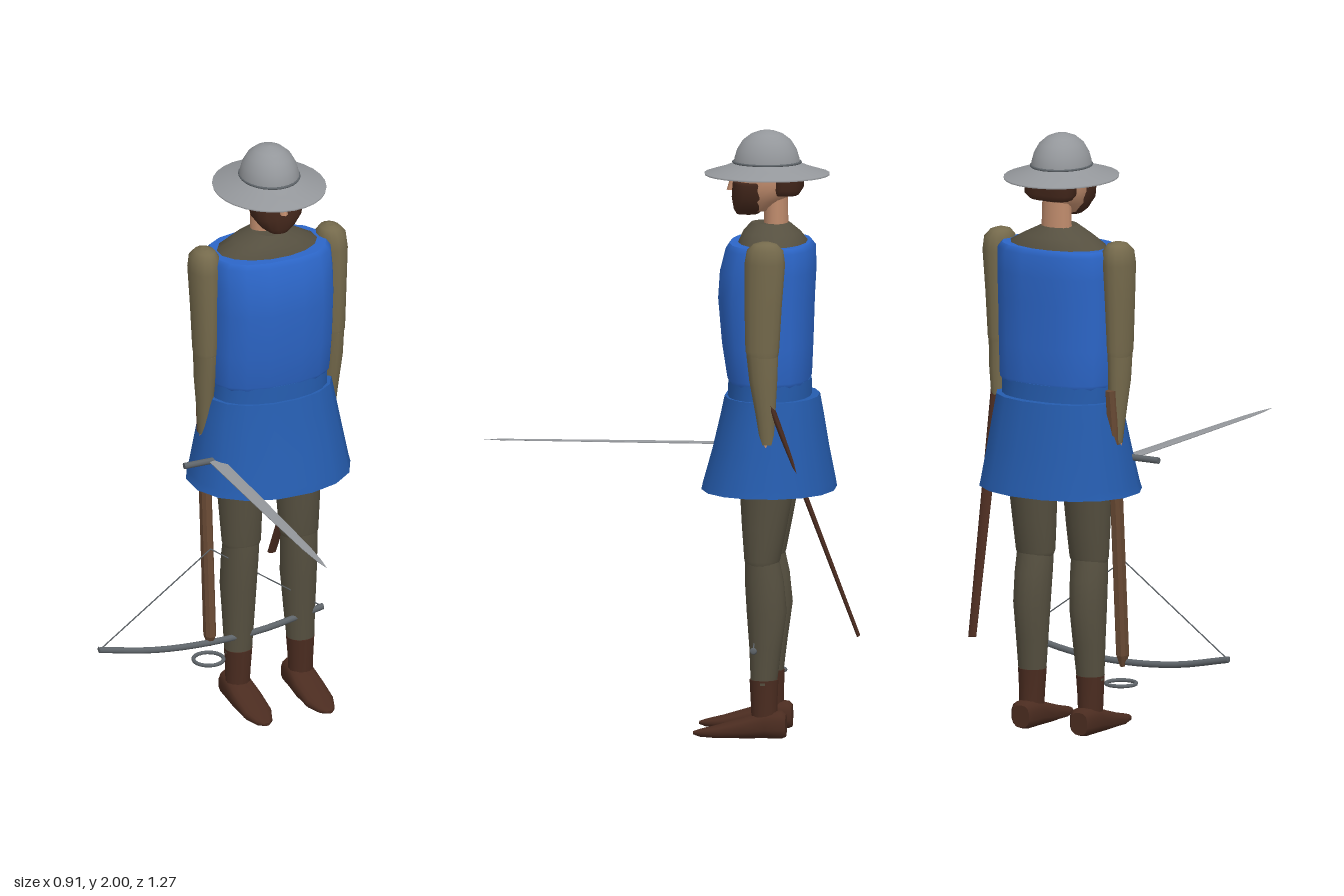
import * as THREE from 'three';

const mat = (name, color) => {
  const m = new THREE.MeshStandardMaterial({ color });
  m.name = name;
  return m;
};

const CX = 0.172; // the figure's own middle line
const CZ = -0.315;

// Stack of oval rings [y, xMin, xMax, zFront, zBack], lowest first, closed with flat caps.
// square < 1 makes the ovals boxier.
function loft(rings, seg = 16, square = 1, flat = false) {
  const pos = [], idx = [];
  const bend = (v) => Math.sign(v) * Math.pow(Math.abs(v), square);
  const addRing = ([y, x0, x1, zf, zb]) => {
    for (let j = 0; j < seg; j++) {
      const a = ((j + 0.5) / seg) * Math.PI * 2;
      pos.push((x0 + x1) / 2 + ((x1 - x0) / 2) * bend(Math.cos(a)), y,
        (zf + zb) / 2 + ((zf - zb) / 2) * bend(Math.sin(a)));
    }
  };
  rings.forEach(addRing);
  for (let i = 0; i < rings.length - 1; i++) {
    for (let j = 0; j < seg; j++) {
      const a = i * seg + j, b = i * seg + ((j + 1) % seg);
      idx.push(a, a + seg, b, b, a + seg, b + seg);
    }
  }
  [rings[0], rings[rings.length - 1]].forEach((r, top) => {
    const start = pos.length / 3;
    addRing(r);
    pos.push((r[1] + r[2]) / 2, r[0], (r[3] + r[4]) / 2);
    for (let j = 0; j < seg; j++) {
      const a = start + j, b = start + ((j + 1) % seg);
      if (top) idx.push(start + seg, b, a);
      else idx.push(start + seg, a, b);
    }
  });
  let g = new THREE.BufferGeometry();
  g.setAttribute('position', new THREE.Float32BufferAttribute(pos, 3));
  g.setIndex(idx);
  if (flat) g = g.toNonIndexed();
  g.computeVertexNormals();
  return g;
}

// Same stack, running along z: rings are [z, xMin, xMax, -yLow, -yHigh].
const loftZ = (rings, seg, square, flat) => loft(rings, seg, square, flat).rotateX(Math.PI / 2);

// Round bar between two points, thinned front to back by depth.
function bar(a, b, ra, rb, seg = 8, depth = 1) {
  const p = new THREE.Vector3(...a), d = new THREE.Vector3(...b).sub(p);
  const g = new THREE.CylinderGeometry(rb, ra, d.length(), seg);
  g.scale(1, 1, depth).translate(0, d.length() / 2, 0);
  g.applyQuaternion(new THREE.Quaternion().setFromUnitVectors(new THREE.Vector3(0, 1, 0), d.normalize()));
  return g.translate(p.x, p.y, p.z);
}

const ball = (x, y, z, rx, ry, rz) =>
  new THREE.SphereGeometry(1, 14, 10).scale(rx, ry, rz).translate(x, y, z);

export function createModel() {
  const tunic = mat('tunicBlue', 0x2c66c8);
  const skirtBlue = mat('skirtBlue', 0x255cae);
  const sleeve = mat('sleeveTan', 0x756a4c);
  const cloth = mat('darkOliveCloth', 0x565040);
  const skin = mat('skin', 0xbf8b6c);
  const hair = mat('hairBrown', 0x45281c);
  const leather = mat('leatherBrown', 0x4b2c20);
  const steel = mat('steel', 0x94979b);
  const iron = mat('darkIron', 0x5f656a);
  const wood = mat('wood', 0x694a34);

  const root = new THREE.Group();
  root.name = 'soldier';
  const add = (name, geometry, material) => {
    const m = new THREE.Mesh(geometry, material);
    m.name = name;
    root.add(m);
    return m;
  };

  // Clothing on the trunk
  add('torso', loft([
    [1.165, -0.02, 0.364, -0.2, -0.45], [1.185, -0.035, 0.38, -0.188, -0.46],
    [1.3, -0.04, 0.384, -0.17, -0.465], [1.45, -0.042, 0.386, -0.157, -0.47],
    [1.54, -0.042, 0.386, -0.163, -0.475], [1.615, -0.04, 0.384, -0.182, -0.473],
    [1.632, -0.025, 0.369, -0.195, -0.46],
  ], 16, 0.8), tunic);
  add('belt', loft([[1.11, -0.03, 0.374, -0.187, -0.462], [1.18, -0.03, 0.374, -0.19, -0.46]], 20, 0.9), skirtBlue);
  add('skirt', loft([
    [0.815, -0.108, 0.45, -0.1, -0.544], [0.84, -0.1, 0.444, -0.106, -0.54],
    [0.95, -0.08, 0.424, -0.137, -0.518], [1.06, -0.06, 0.404, -0.163, -0.5],
    [1.125, -0.048, 0.392, -0.177, -0.488],
  ], 16, 0.94), skirtBlue);
  add('collar', loft([
    [1.6, -0.015, 0.359, -0.21, -0.455], [1.635, 0.0, 0.344, -0.222, -0.447],
    [1.665, 0.055, 0.289, -0.235, -0.425], [1.695, 0.115, 0.229, -0.262, -0.39],
  ], 16), cloth);

  // Head
  add('neck', bar([CX, 1.66, -0.345], [CX, 1.82, -0.345], 0.055, 0.05, 14, 0.75), skin);
  add('head', loft([
    [1.735, 0.13, 0.214, -0.225, -0.335], [1.77, 0.1, 0.244, -0.213, -0.375],
    [1.81, 0.088, 0.256, -0.207, -0.415], [1.85, 0.086, 0.258, -0.207, -0.425],
    [1.9, 0.1, 0.244, -0.23, -0.41],
  ], 16), skin);
  add('nose', loft([[1.8, 0.158, 0.186, -0.182, -0.22], [1.86, 0.164, 0.18, -0.2, -0.22]], 6), skin);
  add('beard', loft([
    [1.722, 0.14, 0.204, -0.215, -0.285], [1.74, 0.115, 0.229, -0.206, -0.31],
    [1.78, 0.086, 0.258, -0.2, -0.32], [1.825, 0.079, 0.265, -0.203, -0.322],
    [1.833, 0.081, 0.263, -0.206, -0.32],
  ], 16, 0.8), hair);
  add('hair', loft([
    [1.79, 0.1, 0.244, -0.335, -0.422], [1.81, 0.08, 0.264, -0.335, -0.435],
    [1.87, 0.08, 0.264, -0.335, -0.437],
  ], 16, 0.75), hair);

  // Wide-brimmed helmet, longer front to back
  const lathe = (pts) => new THREE.LatheGeometry(pts.map((p) => new THREE.Vector2(...p)), 28)
    .scale(1, 1, 1.12).translate(CX, 0, CZ);
  add('helmetUnderside', lathe([[0, 1.878], [0.09, 1.876], [0.183, 1.852]]), steel);
  add('helmetBrim', lathe([[0.183, 1.852], [0.184, 1.858], [0.13, 1.876], [0.094, 1.892]]), steel);
  add('helmetDome', lathe([[0.097, 1.886], [0.096, 1.905], [0.088, 1.935], [0.071, 1.966], [0.047, 1.987],
    [0.022, 1.997], [0, 2]]), steel);
  add('helmetBand', new THREE.TorusGeometry(0.096, 0.004, 6, 28).rotateX(Math.PI / 2)
    .scale(1, 1, 1.15).translate(CX, 1.894, CZ), iron);

  // Limbs, drawn for the left side and mirrored for the right
  for (const side of ['left', 'right']) {
    const f = (rings) => side === 'left' ? rings
      : rings.map(([h, x0, x1, a, b]) => [h, 2 * CX - x1, 2 * CX - x0, a, b]);
    add(side + 'UpperArm', loft(f([
      [1.27, 0.365, 0.435, -0.275, -0.37], [1.3, 0.36, 0.44, -0.265, -0.376],
      [1.45, 0.355, 0.446, -0.262, -0.385], [1.59, 0.35, 0.453, -0.262, -0.396],
      [1.635, 0.352, 0.448, -0.27, -0.39], [1.655, 0.365, 0.43, -0.29, -0.37],
      [1.662, 0.385, 0.41, -0.315, -0.345],
    ]), 14), sleeve);
    add(side + 'Forearm', loft(f([
      [0.99, 0.376, 0.416, -0.312, -0.362], [1.08, 0.372, 0.424, -0.3, -0.363],
      [1.2, 0.366, 0.435, -0.278, -0.37], [1.29, 0.362, 0.437, -0.268, -0.373],
    ]), 14), sleeve);
    const hx = side === 'left' ? 0.396 : 2 * CX - 0.396;
    add(side + 'Hand', ball(hx, 0.982, -0.333, 0.018, 0.034, 0.021), skin);

    add(side + 'Thigh', loft(f([
      [0.575, 0.214, 0.338, -0.255, -0.362], [0.59, 0.208, 0.342, -0.25, -0.368],
      [0.7, 0.203, 0.348, -0.242, -0.39], [0.86, 0.198, 0.356, -0.233, -0.42],
    ]), 16), cloth);
    add(side + 'Calf', loft(f([
      [0.18, 0.238, 0.33, -0.272, -0.358], [0.3, 0.228, 0.335, -0.267, -0.373],
      [0.42, 0.22, 0.34, -0.258, -0.39], [0.52, 0.216, 0.34, -0.252, -0.38],
      [0.585, 0.214, 0.338, -0.252, -0.366],
    ]), 16), cloth);
    add(side + 'BootShaft', loft(f([
      [0.05, 0.245, 0.325, -0.275, -0.36], [0.12, 0.242, 0.327, -0.272, -0.36],
      [0.195, 0.236, 0.331, -0.268, -0.363],
    ]), 14), leather);
    add(side + 'Shoe', loftZ(f([
      [-0.388, 0.252, 0.316, -0.005, -0.08], [-0.375, 0.24, 0.328, 0, -0.092],
      [-0.32, 0.236, 0.332, 0, -0.092], [-0.25, 0.23, 0.336, 0, -0.068],
      [-0.16, 0.234, 0.332, 0, -0.04], [-0.105, 0.255, 0.313, -0.003, -0.027],
      [-0.082, 0.275, 0.295, -0.01, -0.02],
    ]), 14, 0.75), leather);
  }

  // Sword held level in the right hand
  add('swordBlade', loftZ([
    [-0.25, -0.077, -0.025, -0.923, -0.93], [0.1, -0.074, -0.028, -0.923, -0.93],
    [0.48, -0.067, -0.035, -0.924, -0.929], [0.58, -0.06, -0.042, -0.924, -0.929],
    [0.638, -0.0515, -0.0505, -0.926, -0.927],
  ], 8, 1, true), steel);
  add('swordGuard', bar([-0.163, 0.926, -0.251], [0.061, 0.926, -0.251], 0.011, 0.011), iron);
  add('swordGrip', bar([-0.051, 0.926, -0.25], [-0.051, 0.926, -0.37], 0.012, 0.01), leather);
  add('swordPommel', ball(-0.051, 0.926, -0.38, 0.018, 0.018, 0.018), iron);

  // Scabbard slung behind the left hip
  add('scabbard', bar([0.322, 0.35, -0.63], [0.4, 1.13, -0.345], 0.015, 0.024, 10, 0.4), leather);

  // Crossbow hanging nose down at the right side
  add('crossbowStock', loft([
    [0.232, -0.058, -0.044, -0.288, -0.305], [0.27, -0.07, -0.032, -0.27, -0.32],
    [0.7, -0.07, -0.032, -0.3, -0.35], [1.05, -0.07, -0.032, -0.325, -0.378],
    [1.17, -0.067, -0.035, -0.335, -0.392],
  ], 8, 0.8, true), wood);
  const bowPoints = [[-0.452, 0.298], [-0.25, 0.258], [-0.051, 0.246], [0.15, 0.258], [0.35, 0.298]]
    .map(([x, y]) => new THREE.Vector3(x, y, -0.286));
  add('crossbowBow', new THREE.TubeGeometry(new THREE.CatmullRomCurve3(bowPoints), 16, 0.011, 8), iron);
  for (const x of [-0.452, 0.35]) {
    const end = new THREE.Vector3(x, 0.298, -0.286);
    add('bowTip', ball(end.x, end.y, end.z, 0.003, 0.011, 0.011), iron);
    add('bowString', bar([x * 0.99, 0.3, -0.286], [-0.051, 0.585, -0.288], 0.0022, 0.0022, 6), iron);
  }
  add('stirrup', new THREE.TorusGeometry(0.05, 0.0065, 8, 20).rotateX(Math.PI / 2)
    .translate(-0.051, 0.177, -0.305), iron);

  return root;
}
